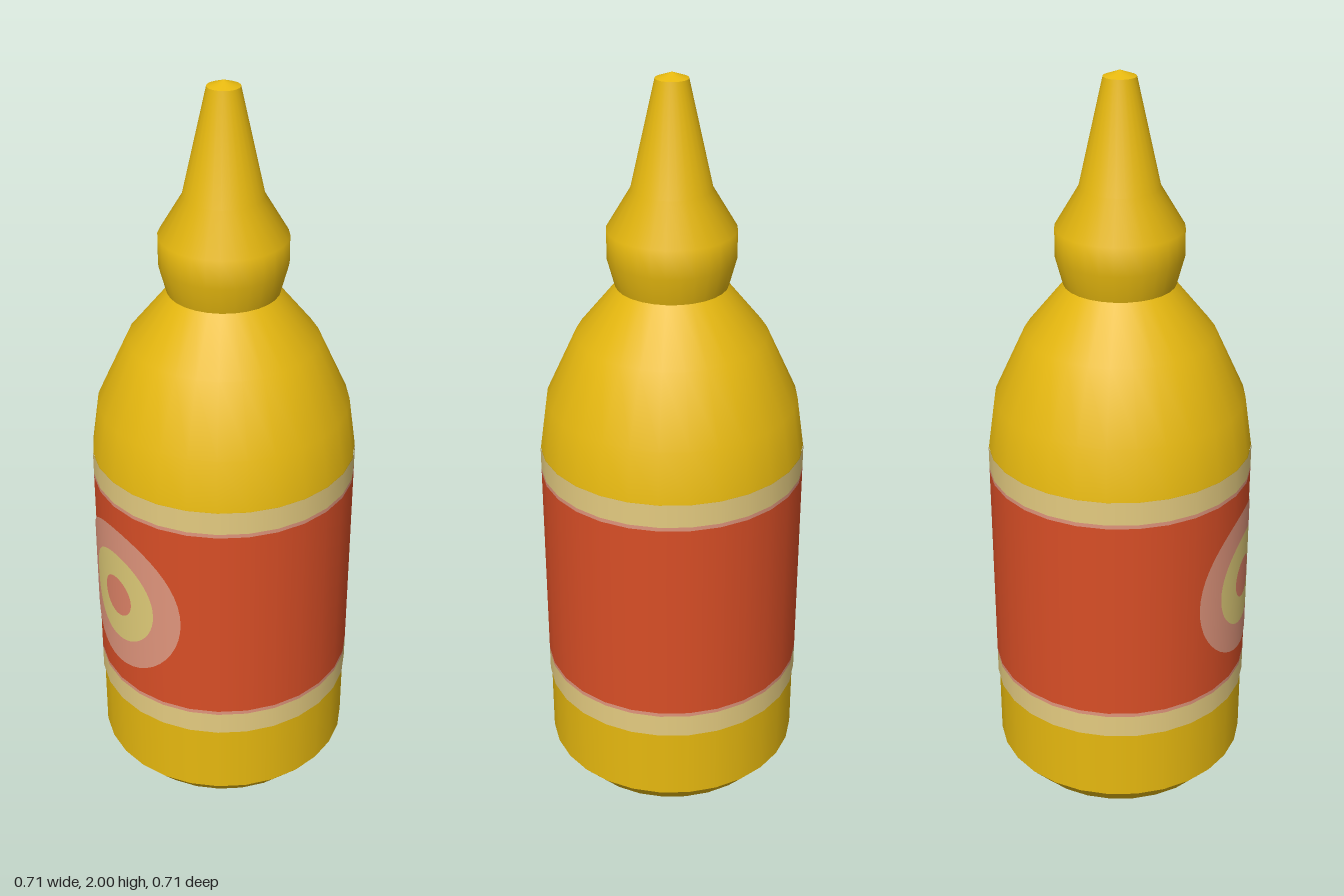
import * as THREE from 'three';

const SIDES = 28;
const LABEL_R = 0.356;
const TARGET_Y = 0.635;

function paint(name, color) {
  const m = new THREE.MeshStandardMaterial({ color });
  m.name = name;
  return m;
}

export function createModel() {
  const model = new THREE.Group();
  model.name = 'squeezeBottle';

  const yellow = paint('mustardYellow', 0xe6b80f);
  const red = paint('labelRed', 0xd84e26);
  const cream = paint('bandCream', 0xe4cb80);
  const pink = paint('palePink', 0xe0957c);
  const straw = paint('strawYellow', 0xe0cc78);
  const coral = paint('coral', 0xe08468);

  // Turned part from a bottom-to-top profile of [radius, height]
  function turned(name, material, profile) {
    const points = profile.map(([r, y]) => new THREE.Vector2(r, y));
    const mesh = new THREE.Mesh(new THREE.LatheGeometry(points, SIDES), material);
    mesh.name = name;
    model.add(mesh);
  }

  // Bottle, split where its edges are sharp
  turned('base', yellow, [[0, 0], [0.295, 0]]);
  turned('baseChamfer', yellow, [[0.295, 0], [0.352, 0.065]]);
  turned('lowerBody', yellow, [[0.352, 0.065], [0.352, 1.0]]);
  turned('shoulder', yellow, [[0.355, 1.0], [0.335, 1.14], [0.252, 1.32], [0.14, 1.458]]);

  // Nozzle cap
  turned('nozzleUnderside', yellow, [[0, 1.455], [0.147, 1.455]]);
  turned('nozzle', yellow, [[0.147, 1.455], [0.167, 1.53], [0.167, 1.605], [0.104, 1.71], [0.042, 1.985]]);
  turned('nozzleTip', yellow, [[0.042, 1.985], [0, 2.0]]);

  // Wrapped label: cream bands, thin pink lines and a red field
  const stripes = [
    ['lowerBand', cream, 0.27, 0.335],
    ['lowerLine', pink, 0.335, 0.346],
    ['labelField', red, 0.346, 0.924],
    ['upperLine', pink, 0.924, 0.935],
    ['upperBand', cream, 0.935, 1.0],
  ];
  for (const [name, material, y0, y1] of stripes) {
    turned(name, material, [[LABEL_R, y0], [LABEL_R, y1]]);
  }
  turned('labelLowerEdge', cream, [[0.351, 0.27], [LABEL_R, 0.27]]);

  // Target emblem: flat rings bent around the front of the label
  function wrappedRing(name, material, inner, outer) {
    const geometry = new THREE.RingGeometry(inner, outer, 48, 8);
    const pos = geometry.attributes.position;
    const normal = geometry.attributes.normal;
    const r = LABEL_R + 0.002;
    for (let i = 0; i < pos.count; i++) {
      const a = pos.getX(i) / LABEL_R;
      pos.setXYZ(i, r * Math.sin(a), TARGET_Y + pos.getY(i), r * Math.cos(a));
      normal.setXYZ(i, Math.sin(a), 0, Math.cos(a));
    }
    const mesh = new THREE.Mesh(geometry, material);
    mesh.name = name;
    model.add(mesh);
  }
  wrappedRing('targetOuterRing', pink, 0.138, 0.22);
  wrappedRing('targetMiddleRing', straw, 0.06, 0.138);
  wrappedRing('targetCentre', coral, 0, 0.06);

  return model;
}
